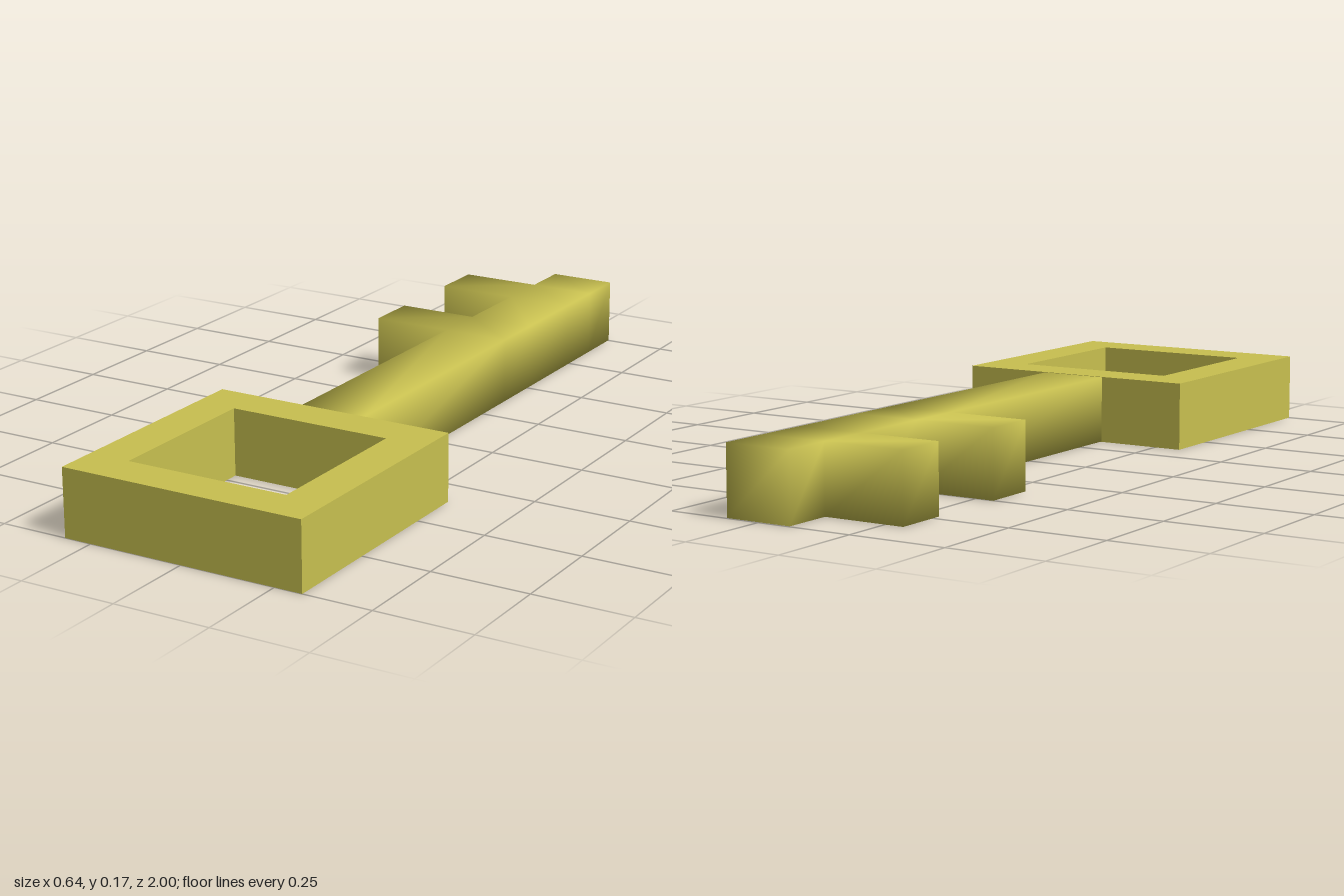
import * as THREE from 'three';

const HEIGHT = 0.174;

// Square ring handle with a square hole
function makeBow(material) {
  const square = (target, h) => target.moveTo(-h, -h).lineTo(h, -h).lineTo(h, h).lineTo(-h, h).closePath();
  const shape = square(new THREE.Shape(), 0.3225);
  shape.holes.push(square(new THREE.Path(), 0.215));
  const geometry = new THREE.ExtrudeGeometry(shape, { depth: HEIGHT, bevelEnabled: false });
  geometry.rotateX(-Math.PI / 2);
  const bow = new THREE.Mesh(geometry, material);
  bow.position.z = 0.6775;
  bow.name = 'bow';
  return bow;
}

// Shaft and two teeth as one skin with shared corners, so its shading is smooth
function makeShaft(material) {
  const right = 0.088, left = -0.088, tip = -0.302;
  const z = [0.355, -0.365, -0.505, -0.73, -0.87, -1];
  // outline, counterclockwise from above
  const outline = [
    ...z.map((v) => [right, v]),
    [left, z[5]], [left, z[4]], [tip, z[4]], [tip, z[3]], [left, z[3]],
    [left, z[2]], [tip, z[2]], [tip, z[1]], [left, z[1]], [left, z[0]],
  ];
  const n = outline.length;
  const positions = [];
  for (const y of [0.001, HEIGHT - 0.001]) {
    for (const [px, pz] of outline) positions.push(px, y, pz);
  }
  const index = [];
  const quad = (a, b, c, d) => index.push(a, b, c, a, c, d);

  // top and bottom panels: five along the shaft, one for each tooth
  const panels = [
    [0, 1, 14, 15], [1, 2, 11, 14], [2, 3, 10, 11], [3, 4, 7, 10], [4, 5, 6, 7],
    [7, 8, 9, 10], [11, 12, 13, 14],
  ];
  for (const [a, b, c, d] of panels) {
    quad(a + n, b + n, c + n, d + n);
    quad(d, c, b, a);
  }
  // side walls, left open where the shaft meets the bow
  for (let i = 0; i < n - 1; i++) quad(i, i + 1, i + 1 + n, i + n);

  const geometry = new THREE.BufferGeometry();
  geometry.setAttribute('position', new THREE.Float32BufferAttribute(positions, 3));
  geometry.setIndex(index);
  geometry.computeVertexNormals();
  const shaft = new THREE.Mesh(geometry, material);
  shaft.name = 'shaftWithTeeth';
  return shaft;
}

export function createModel() {
  const gold = new THREE.MeshStandardMaterial({ color: 0xc8c050 });
  gold.name = 'gold';
  const key = new THREE.Group();
  key.name = 'key';
  key.add(makeBow(gold), makeShaft(gold));
  return key;
}
